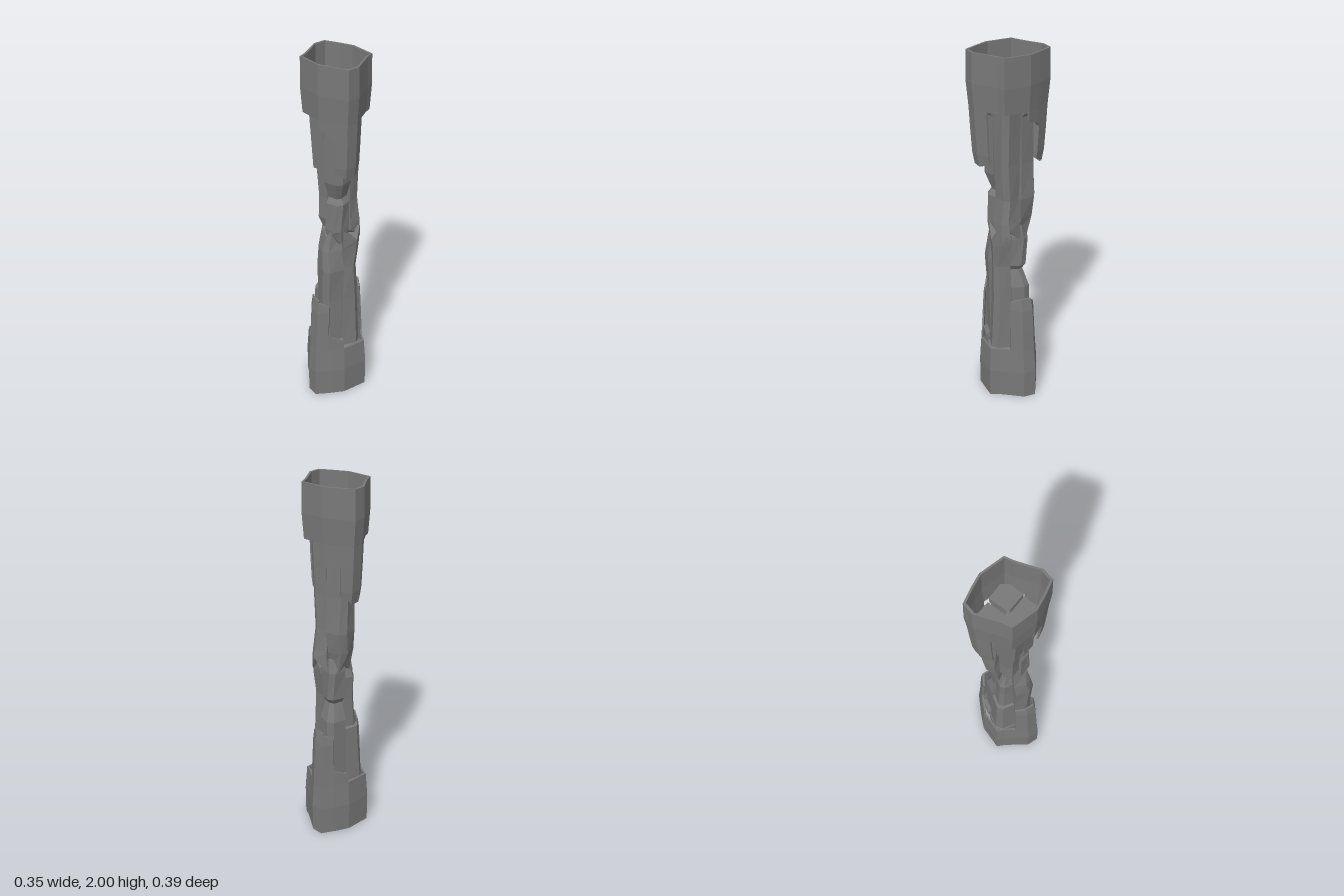
import * as THREE from 'three';

const material = new THREE.MeshStandardMaterial({ color: 0x787878, flatShading: true });

// Closed solid through rings of [x, y, z] points, listed from bottom to top.
function loft(rings, name) {
  const n = rings[0].length;
  let area = 0;
  rings[0].forEach((p, i) => {
    const q = rings[0][(i + 1) % n];
    area += p[2] * q[0] - q[2] * p[0];
  });
  if (area < 0) rings = rings.map((r) => [...r].reverse());
  const pos = [];
  const tri = (a, b, c) => pos.push(...a, ...b, ...c);
  for (let k = 0; k < rings.length - 1; k++) {
    for (let i = 0; i < n; i++) {
      const j = (i + 1) % n, lo = rings[k], hi = rings[k + 1];
      tri(lo[i], lo[j], hi[j]);
      tri(lo[i], hi[j], hi[i]);
    }
  }
  const top = rings[rings.length - 1];
  for (let i = 1; i < n - 1; i++) {
    tri(rings[0][0], rings[0][i + 1], rings[0][i]);
    tri(top[0], top[i], top[i + 1]);
  }
  const geo = new THREE.BufferGeometry();
  geo.setAttribute('position', new THREE.Float32BufferAttribute(pos, 3));
  geo.computeVertexNormals();
  const mesh = new THREE.Mesh(geo, material);
  mesh.name = name;
  return mesh;
}

// Outward taper of the sleeve by height.
const taper = [[1.38, 0.82], [1.45, 0.88], [1.58, 0.92], [1.7, 0.95], [1.84, 1.01], [2, 1]];
function sleeveScale(y) {
  let i = 0;
  while (i < taper.length - 2 && y > taper[i + 1][0]) i++;
  const [a, b] = [taper[i], taper[i + 1]];
  return THREE.MathUtils.mapLinear(y, a[0], b[0], a[1], b[1]);
}

// One slab of the sleeve wall, from corner a to corner b, with its own lower edge.
function slab(a, b, ya, yb) {
  const low = Math.min(ya, yb);
  const levels = taper.map((t) => t[0]).filter((l, i, all) => l > low || all[i + 1] > low);
  const rings = levels.map((l) => {
    const pt = (p, y, k) => [p[0] * sleeveScale(y) * k, y, p[1] * sleeveScale(y) * k];
    const y0 = Math.max(l, ya), y1 = Math.max(l, yb);
    return [pt(a, y0, 1), pt(b, y1, 1), pt(b, y1, 0.93), pt(a, y0, 0.93)];
  });
  return loft(rings, 'sleeveSlab');
}

// Half of the sleeve outline: [x, z] start corner, lower edge at start and end of its slab.
const sleeveHalf = [
  [-0.175, 0.045, 1.7, 1.7], [-0.07, 0.145, 1.65, 1.62], [0, 0.17, 1.62, 1.6],
  [0.02, 0.176, 1.42, 1.39], [0.09, 0.195, 1.38, 1.38], [0.135, 0.145, 1.38, 1.4],
  [0.147, 0.07, 1.7, 1.7], [0.16, 0, 1.7, 1.7],
];

// Core splinters: signs along the two split directions, end slant,
// then [y, size, twist] from the middle of the column to the floor inside the sleeve.
const U = [0.87, 0.5], V = [0.5, -0.87];
const splinters = [
  { name: 'rightSplinter', su: 1, sv: 1, tilt: 0.05,
    rows: [[0.98, 0.104, 0], [1.07, 0.1, 0.02], [1.2, 0.089, -0.02], [1.4, 0.094, 0.02], [1.71, 0.105, 0], [1.72, 0.118, 0], [1.76, 0.118, 0]] },
  { name: 'leftSplinter', su: -1, sv: -1, tilt: 0.02,
    rows: [[1, 0.048, 0], [1.09, 0.075, 0.02], [1.22, 0.073, 0], [1.385, 0.082, 0], [1.39, 0.096, 0], [1.71, 0.112, 0], [1.72, 0.118, 0], [1.78, 0.118, 0]] },
  { name: 'frontSplinter', su: 1, sv: -1, tilt: 0.03,
    rows: [[0.97, 0.08, 0], [1.04, 0.09, -0.03], [1.2, 0.086, 0.03], [1.23, 0.068, 0.02], [1.33, 0.1, 0], [1.66, 0.104, 0], [1.68, 0.125, 0], [1.72, 0.125, 0]] },
  { name: 'backSplinter', su: -1, sv: 1, tilt: -0.03,
    rows: [[0.99, 0.08, 0], [1.08, 0.1, 0.03], [1.2, 0.112, -0.02], [1.4, 0.105, 0.02], [1.66, 0.104, 0], [1.68, 0.125, 0], [1.7, 0.125, 0]] },
];

function splinter({ name, su, sv, tilt, rows }) {
  const section = [[0, 0], [1, 0], [1.02, 0.72], [0.76, 1.02], [0, 1]];
  const rings = rows.map(([y, s, twist], k) => section.map(([p, q], i) => {
    const u = su * s * (p + twist * q * 2), v = sv * s * (q - twist * p * 2);
    const dy = k === 0 ? tilt * (i % 2 ? 1 : -0.4) : 0;
    return [U[0] * u + V[0] * v, y + dy, U[1] * u + V[1] * v];
  }));
  return loft(rings, name);
}

function half(name) {
  const group = new THREE.Group();
  group.name = name;

  // Hollow outer sleeve with two hanging flaps
  const sleeve = new THREE.Group();
  sleeve.name = 'sleeve';
  for (const s of [1, -1]) {
    sleeveHalf.forEach(([x, z, ya, yb], i) => {
      const next = sleeveHalf[i + 1] ?? [0.175, -0.045];
      sleeve.add(slab([s * x, s * z], [s * next[0], s * next[1]], ya, yb));
    });
  }
  group.add(sleeve);

  // Split rock core
  const core = new THREE.Group();
  core.name = 'core';
  splinters.forEach((d) => core.add(splinter(d)));
  group.add(core);
  return group;
}

export function createModel() {
  const model = new THREE.Group();
  model.name = 'rockColumn';
  model.add(half('upperHalf'));
  // The lower half is the upper one turned over
  const lower = half('lowerHalf');
  lower.rotation.x = Math.PI;
  lower.position.y = 2;
  model.add(lower);
  return model;
}
